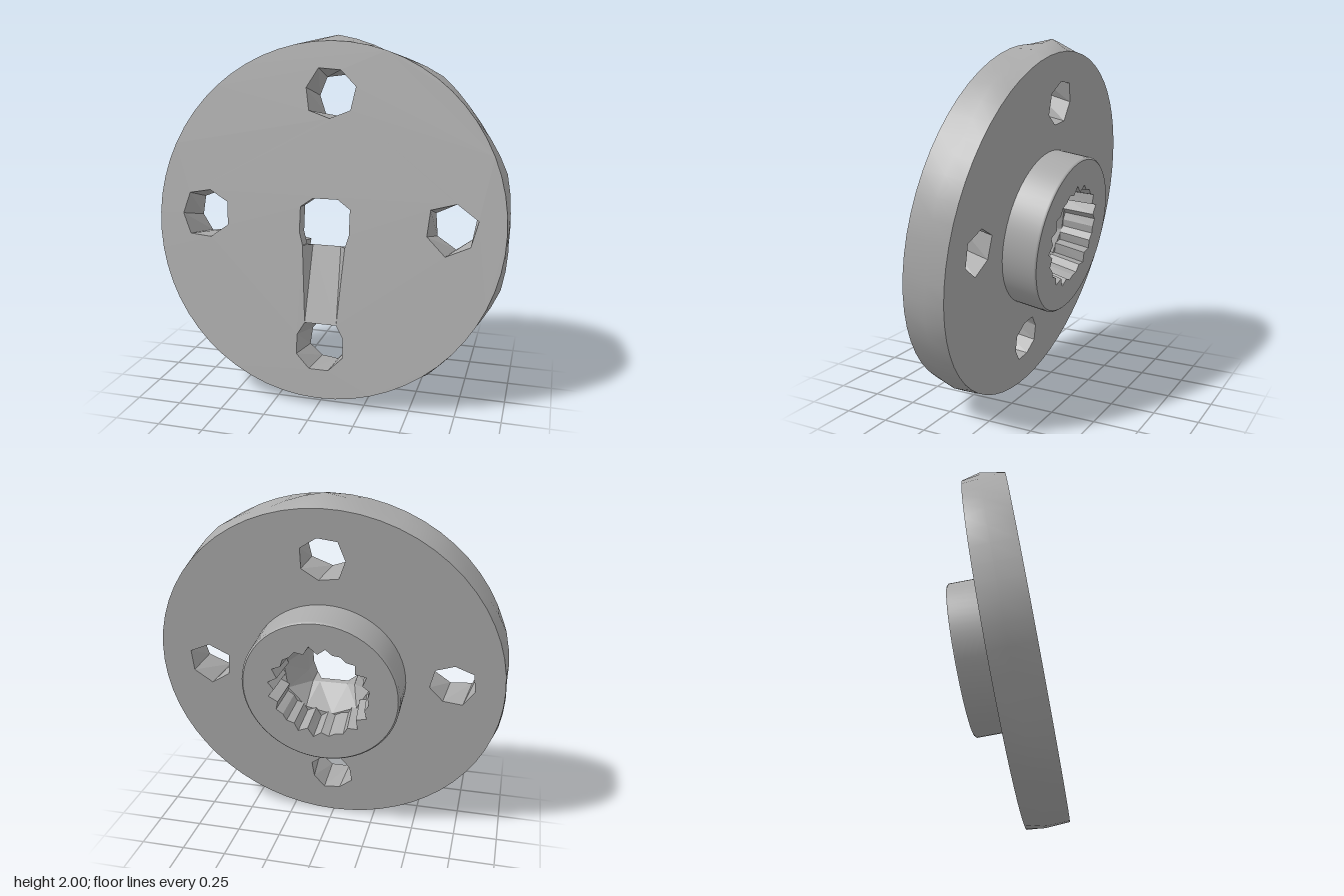
import * as THREE from 'three';

const R = 0.977, THICK = 0.235, HUB_R = 0.44, HUB_END = 0.43;

// ring of points around (cx, cy); radius may be a function of index and angle
function ring(n, radius, z, cx = 0, cy = 0, turn = 0) {
  return Array.from({ length: n }, (_, i) => {
    const a = turn + (i / n) * Math.PI * 2;
    const r = typeof radius === 'function' ? radius(i, a) : radius;
    return new THREE.Vector3(cx + Math.cos(a) * r, cy + Math.sin(a) * r, z);
  });
}

// closed wall through rings; front-to-back faces outward, back-to-front inward
function loft(rings, smooth) {
  const n = rings[0].length, index = [];
  for (let k = 0; k < rings.length - 1; k++) {
    for (let i = 0; i < n; i++) {
      const j = (i + 1) % n, a = k * n + i, b = k * n + j, c = a + n, d = b + n;
      index.push(a, c, b, b, c, d);
    }
  }
  return finish(new THREE.BufferGeometry().setFromPoints(rings.flat()).setIndex(index), smooth);
}

function finish(geo, smooth) {
  const g = smooth ? geo : geo.toNonIndexed();
  g.computeVertexNormals();
  return g;
}

// flat face with openings, facing +z or (back = true) -z
function plate(outline, holes, z, back) {
  const shape = new THREE.Shape(outline.map(p => new THREE.Vector2(p.x, p.y)));
  for (const h of holes) shape.holes.push(new THREE.Path(h.map(p => new THREE.Vector2(p.x, p.y))));
  const geo = new THREE.ShapeGeometry(shape);
  geo.translate(0, 0, z);
  if (back) geo.index.array.reverse();
  return finish(geo, true);
}

export function createModel() {
  const grey = new THREE.MeshStandardMaterial({ color: 0xaaaaaa, side: THREE.DoubleSide });
  grey.name = 'plain grey';
  const model = new THREE.Group();
  model.name = 'flangedHub';
  const disc = new THREE.Group();
  disc.name = 'tiltedFlange';
  disc.position.set(0, 1.005, 0.17);
  disc.rotation.x = -0.154;
  model.add(disc);
  const add = (name, geo) => {
    const mesh = new THREE.Mesh(geo, grey);
    mesh.name = name;
    disc.add(mesh);
  };

  // rim with ten low faceted peaks around its middle
  const N = 60;
  const peak = (i) => {
    const k = (i - 15 + N) % N, d = Math.min(k % 6, 6 - (k % 6)) / 3;
    return R + (k < 4 || k > 56 ? 0.048 : 0.024) * (1 - d);
  };
  const front = ring(N, R, 0), back = ring(N, R, -THICK);
  add('rim', loft([front, ring(N, peak, -0.134), back], true));

  // four bolt holes, slightly irregular and narrower at the back
  const spots = [[0, 0.70, 7, 0.25], [-0.70, 0.01, 7, 0.5], [0.69, 0.01, 6, 0.35]];
  const frontHoles = [], backHoles = [];
  const rough = (r) => (i) => r * (i % 2 ? 0.95 : 1.04);
  for (const [x, y, n, turn] of spots) {
    const f = ring(n, rough(0.143), 0, x, y, turn);
    const b = ring(n, rough(0.127), -THICK, x, y, turn + 0.2);
    frontHoles.push(f);
    backHoles.push(b);
    add('boltHole', loft([b, f]));
  }
  const low = ring(8, 0.142, 0, 0, -0.685, Math.PI / 8);
  low[1].set(0.09, -0.56, 0);
  low[2].set(-0.09, -0.56, 0);
  const lowBack = ring(8, rough(0.125), -THICK, 0, -0.685, Math.PI / 8);
  backHoles.push(lowBack);
  add('lowerBoltHole', loft([lowBack, low]));

  // centre opening, its lower edge sunk where the sloping groove meets it
  const V = (x, y, z = 0) => new THREE.Vector3(x, y, z);
  const centre = [V(0.14, -0.06), V(0.14, 0.08), V(0.07, 0.13), V(-0.07, 0.13), V(-0.14, 0.08),
    V(-0.14, -0.06), V(-0.12, -0.13), V(-0.08, -0.13, -0.07), V(0.08, -0.13, -0.07), V(0.12, -0.13)];
  const throat = centre.map(p => V(p.x * 1.03, p.y * 1.03, -0.1));
  add('centreOpening', loft([throat, centre]));

  // groove floor and side walls
  const floorL = centre[7], floorR = centre[8], topL = centre[6], topR = centre[9];
  const tris = [floorL, low[2], low[1], floorL, low[1], floorR,
    topL, low[2], floorL, topR, floorR, low[1]];
  add('slopingGroove', finish(new THREE.BufferGeometry().setFromPoints(tris), true));

  // front face: groove, centre and lower hole form one keyhole opening
  const keyhole = [...centre.slice(0, 7), low[2], ...low.slice(3), low[0], low[1], topR];
  add('frontFace', plate(front, [...frontHoles, keyhole], 0));
  add('backFace', plate(back, [...backHoles, ring(N, HUB_R, 0)], -THICK, true));

  // raised hub behind the flange, with a small rounded edge
  add('hubWall', loft([ring(N, HUB_R, -THICK), ring(N, HUB_R, -HUB_END + 0.01),
    ring(N, HUB_R - 0.01, -HUB_END)], true));

  // toothed bore tapering to the centre opening
  const T = 40;
  const teeth = (r, d) => (i) => r + (i % 2 ? d : -d) + 0.01 * Math.sin(i * 2.3);
  const mouth = ring(T, teeth(0.27, 0.014), -HUB_END);
  add('hubEnd', plate(ring(N, HUB_R - 0.01, 0), [mouth], -HUB_END, true));
  add('toothedBore', loft([mouth, ring(T, teeth(0.25, 0.014), -0.25)]));
  const inner = ring(10, 0.25, -0.25, 0, 0, -0.4);
  add('boreTaper', loft([inner, throat]));
  add('boreShoulder', plate(ring(T, 0.275, 0), [inner], -0.25, true));

  return model;
}
